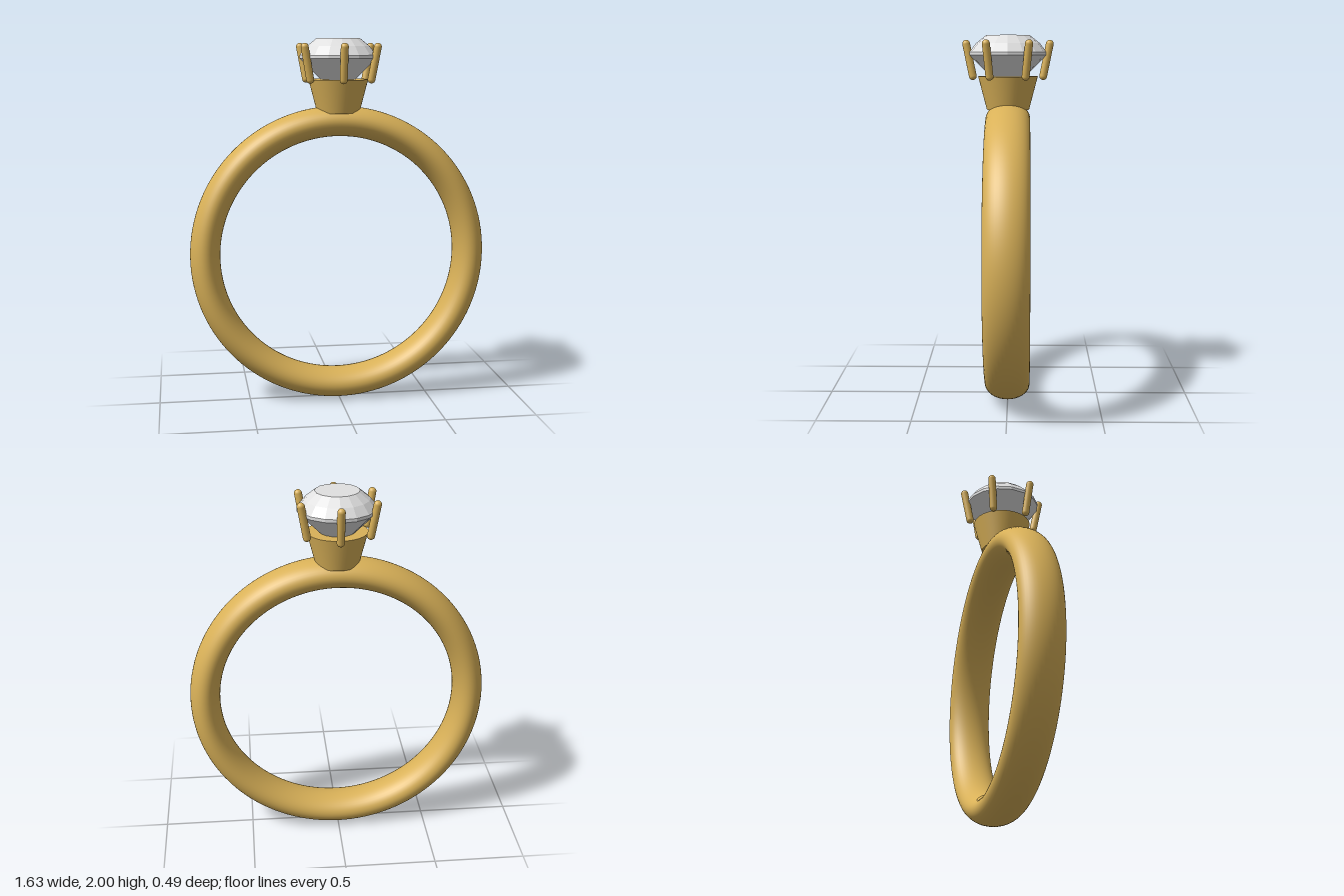
import * as THREE from 'three';

export function createModel() {
  const ring = new THREE.Group();
  ring.name = 'ring';

  const gold = new THREE.MeshStandardMaterial({ color: 0xd9b158 });
  gold.name = 'gold';
  const crystal = new THREE.MeshStandardMaterial({ color: 0xe0e0e0 });
  crystal.name = 'crystal';

  const add = (name, geometry, material) => {
    const mesh = new THREE.Mesh(geometry, material);
    mesh.name = name;
    ring.add(mesh);
    return mesh;
  };

  // Band: torus widened along z to an oval section
  const bandGeometry = new THREE.TorusGeometry(0.735, 0.082, 40, 128);
  bandGeometry.scale(1, 1, 0.12 / 0.082);
  add('band', bandGeometry, gold).position.y = 0.82;

  // Collet: tapered solid cup below the stone
  add('collet', new THREE.CylinderGeometry(0.162, 0.115, 0.18, 48), gold).position.y = 1.69;

  // Stone: faceted point, girdle, crown and flat table
  const stoneProfile = [
    [0, 1.685], [0.21, 1.893], [0.21, 1.91], [0.172, 1.957], [0.118, 2], [0, 2],
  ].map(([r, y]) => new THREE.Vector2(r, y));
  const stoneGeometry = new THREE.LatheGeometry(stoneProfile, 16).toNonIndexed();
  stoneGeometry.computeVertexNormals();
  add('stone', stoneGeometry, crystal);

  // Prongs: six round-ended pins leaning outwards
  const up = new THREE.Vector3(0, 1, 0);
  for (let i = 0; i < 6; i++) {
    const angle = Math.PI / 6 + (i * Math.PI) / 3;
    const at = (r, y) => new THREE.Vector3(r * Math.cos(angle), y, r * Math.sin(angle));
    const foot = at(0.191, 1.781);
    const tip = at(0.226, 1.954);
    const axis = tip.clone().sub(foot);
    const prong = add('prong' + (i + 1), new THREE.CapsuleGeometry(0.021, axis.length(), 8, 20), gold);
    prong.position.copy(foot).add(tip).multiplyScalar(0.5);
    prong.quaternion.setFromUnitVectors(up, axis.normalize());
  }

  return ring;
}
